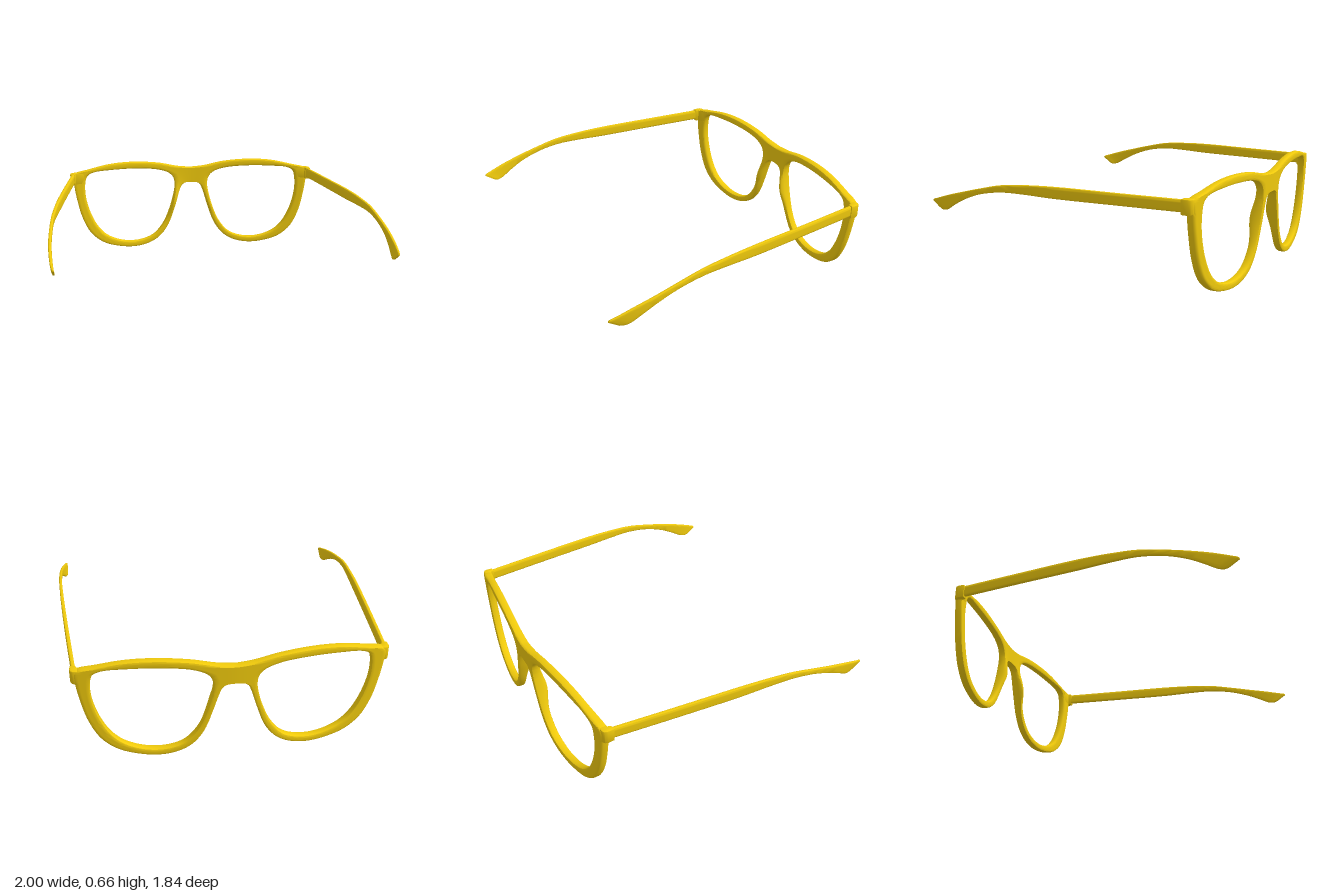
import * as THREE from 'three';
import { toCreasedNormals } from 'three/addons/utils/BufferGeometryUtils.js';

const material = new THREE.MeshStandardMaterial({ color: 0xf0ca0c });

function addMesh(group, name, geometry, crease) {
  const mesh = new THREE.Mesh(toCreasedNormals(geometry, crease), material);
  mesh.name = name;
  group.add(mesh);
}

function indexedGeometry(positions, index) {
  const geometry = new THREE.BufferGeometry();
  geometry.setAttribute('position', new THREE.Float32BufferAttribute(positions, 3));
  geometry.setIndex(index);
  return geometry;
}

// Joins two neighbouring rings of vertices with quads; skip leaves some quads open
function joinRings(index, from, to, ring, flip, skip = () => false) {
  for (let j = 0; j < ring; j++) {
    if (skip(j)) continue;
    const n = (j + 1) % ring;
    const [a, b, c, d] = [from + j, from + n, to + n, to + j];
    index.push(...(flip ? [a, d, c, a, c, b] : [a, b, c, a, c, d]));
  }
}

// Half frame, clockwise from the top of the bridge: outer x, y and lens opening x, y
const framePairs = [
  [0, 0.602, 0.15, 0.548], [0.1, 0.612, 0.185, 0.573], [0.25, 0.643, 0.27, 0.597],
  [0.45, 0.658, 0.45, 0.61], [0.62, 0.648, 0.62, 0.606], [0.78, 0.615, 0.73, 0.597],
  [0.868, 0.594, 0.772, 0.58], [0.886, 0.572, 0.79, 0.56], [0.882, 0.5, 0.803, 0.5],
  [0.865, 0.39, 0.8, 0.4], [0.83, 0.25, 0.765, 0.27], [0.77, 0.13, 0.71, 0.165],
  [0.68, 0.053, 0.645, 0.1], [0.56, 0.013, 0.55, 0.058], [0.44, 0.002, 0.45, 0.045],
  [0.33, 0.024, 0.355, 0.06], [0.245, 0.075, 0.285, 0.095], [0.178, 0.165, 0.215, 0.18],
  [0.125, 0.31, 0.163, 0.3], [0.09, 0.425, 0.135, 0.4], [0.07, 0.468, 0.126, 0.45],
  [0.04, 0.487, 0.125, 0.475], [0, 0.49, 0.126, 0.495], [0, 0.545, 0.133, 0.522],
];

// Bevelled cross-section as [distance from the opening, depth]
function rimSection(width, outerBevel) {
  const half = 0.025, b = 0.013, n = 6;
  const flat = Array.from({ length: n }, (_, i) => b + (width - b - outerBevel) * i / (n - 1));
  const back = [
    ...flat.map(s => [s, half]), [width - 0.3 * outerBevel, half - 0.3 * b], [width, half - b],
  ];
  const front = back.map(([s, d]) => [s, -d]).reverse();
  return [...back, ...front, [0.3 * b, -half + 0.3 * b], [0, -half + b], [0, half - b], [0.3 * b, half - 0.3 * b]];
}

// Lens frame: the section swept round both openings, bent round the face,
// with nose pads raised at the back
function frontGeometry() {
  const positions = [], index = [];
  const count = framePairs.length, steps = 6, rows = count * steps, centreStart = (count - 2) * steps;
  const outerCurve = new THREE.CatmullRomCurve3(
    framePairs.slice(0, -1).map(([x, y]) => new THREE.Vector3(x, y, 0)));
  const lensCurve = new THREE.CatmullRomCurve3(
    framePairs.map(p => new THREE.Vector3(p[2], p[3], 0)), true);
  const bridgeTop = outerCurve.getPoint(0), bridgeBottom = outerCurve.getPoint(1);

  for (const side of [1, -1]) {
    const base = positions.length / 3;
    let ring = 0;
    for (let i = 0; i < rows; i++) {
      const onCentre = i === 0 || i >= centreStart, corner = i === 0 || i === centreStart;
      const inner = lensCurve.getPoint(i / rows);
      const outer = i <= centreStart ? outerCurve.getPoint(i / centreStart)
        : bridgeBottom.clone().lerp(bridgeTop, (i - centreStart) / (rows - centreStart));
      const width = inner.distanceTo(outer);
      const outerBevel = onCentre && !corner ? 0 : 0.013;
      const section = rimSection(width, outerBevel);
      ring = section.length;
      for (const [s, depth] of section) {
        const p = inner.clone().lerp(outer, s / width);
        if (onCentre && s > width - outerBevel - 1e-6) p.x = 0;
        const bend = 0.08 * Math.pow(p.x / 0.85, 1.55) + 0.015 * (0.6 - p.y);
        const pad = Math.max(0, depth / 0.025) * 0.028
          * Math.exp(-Math.pow((p.x - 0.13) / 0.06, 2) - Math.pow((p.y - 0.34) / 0.12, 2));
        positions.push(side * p.x, p.y, -0.895 + bend + depth + pad);
      }
    }
    // The two halves stay open where they meet at the bridge
    for (let i = 0; i < rows; i++) {
      const next = (i + 1) % rows;
      joinRings(index, base + i * ring, base + next * ring, ring, side > 0,
        j => i >= centreStart && j >= 5 && j <= 9);
    }
  }
  return indexedGeometry(positions, index);
}

// Corner block that turns from the frame to the temple, drawn from above as [x, z]
function endPieceGeometry(side) {
  const plan = [
    [0.81, -0.83], [0.865, -0.832], [0.89, -0.83], [0.903, -0.82], [0.909, -0.802],
    [0.907, -0.765], [0.874, -0.765], [0.868, -0.785], [0.81, -0.795],
  ];
  const shape = new THREE.Shape(plan.map(([x, z]) => new THREE.Vector2(side * x, -z)));
  const geometry = new THREE.ExtrudeGeometry(shape, {
    depth: 0.07, bevelThickness: 0.008, bevelSize: 0.006, bevelOffset: -0.006, bevelSegments: 2,
  });
  return geometry.rotateX(-Math.PI / 2).translate(0, 0.518, 0);
}

// Temple stations: top z, top y, bottom z, bottom y, centre x, half thickness
const templeStations = [
  [-0.785, 0.59, -0.785, 0.523, 0.887, 0.012],
  [-0.4, 0.59, -0.4, 0.523, 0.925, 0.012],
  [0.0, 0.59, 0.0, 0.523, 0.961, 0.011],
  [0.2, 0.582, 0.2, 0.528, 0.976, 0.01],
  [0.36, 0.567, 0.35, 0.526, 0.986, 0.009],
  [0.52, 0.532, 0.5, 0.502, 0.991, 0.009],
  [0.66, 0.497, 0.63, 0.458, 0.991, 0.009],
  [0.78, 0.465, 0.73, 0.408, 0.984, 0.009],
  [0.87, 0.437, 0.795, 0.372, 0.975, 0.008],
  [0.912, 0.423, 0.83, 0.366, 0.968, 0.007],
  [0.916, 0.415, 0.85, 0.37, 0.966, 0.005],
];

// Temple: rounded cross-sections lofted along the arm
function templeGeometry(side) {
  const rail = (z, y) => new THREE.CatmullRomCurve3(
    templeStations.map(s => new THREE.Vector3(s[4], s[y], s[z])));
  const top = rail(0, 1), bottom = rail(2, 3);
  const rows = 50, ring = 24, positions = [], index = [];
  const rounded = v => Math.sign(v) * Math.pow(Math.abs(v), 0.35);
  const last = templeStations.length - 1;
  for (let i = 0; i <= rows; i++) {
    const t = i / rows, k = Math.min(Math.floor(t * last), last - 1);
    const half = THREE.MathUtils.lerp(templeStations[k][5], templeStations[k + 1][5], t * last - k);
    const a = top.getPoint(t), b = bottom.getPoint(t);
    const centre = a.clone().add(b).multiplyScalar(0.5), up = a.sub(b).multiplyScalar(0.5);
    for (let j = 0; j < ring; j++) {
      const angle = ((j + 0.5) / ring) * Math.PI * 2;
      const v = centre.clone().addScaledVector(up, rounded(Math.sin(angle)));
      positions.push(side * (v.x + half * rounded(Math.cos(angle))), v.y, v.z);
    }
  }
  for (let i = 0; i < rows; i++) joinRings(index, i * ring, (i + 1) * ring, ring, side < 0);
  // End caps
  const end = rows * ring;
  for (let j = 1; j < ring - 1; j++) {
    const [p, q] = side > 0 ? [j, j + 1] : [j + 1, j];
    index.push(0, q, p, end, end + p, end + q);
  }
  return indexedGeometry(positions, index);
}

export function createModel() {
  const group = new THREE.Group();
  group.name = 'eyeglasses';
  addMesh(group, 'lensFrame', frontGeometry(), 0.7);
  for (const [name, side] of [['left', 1], ['right', -1]]) {
    addMesh(group, name + 'EndPiece', endPieceGeometry(side), 0.6);
    addMesh(group, name + 'Temple', templeGeometry(side), 0.8);
  }
  return group;
}
